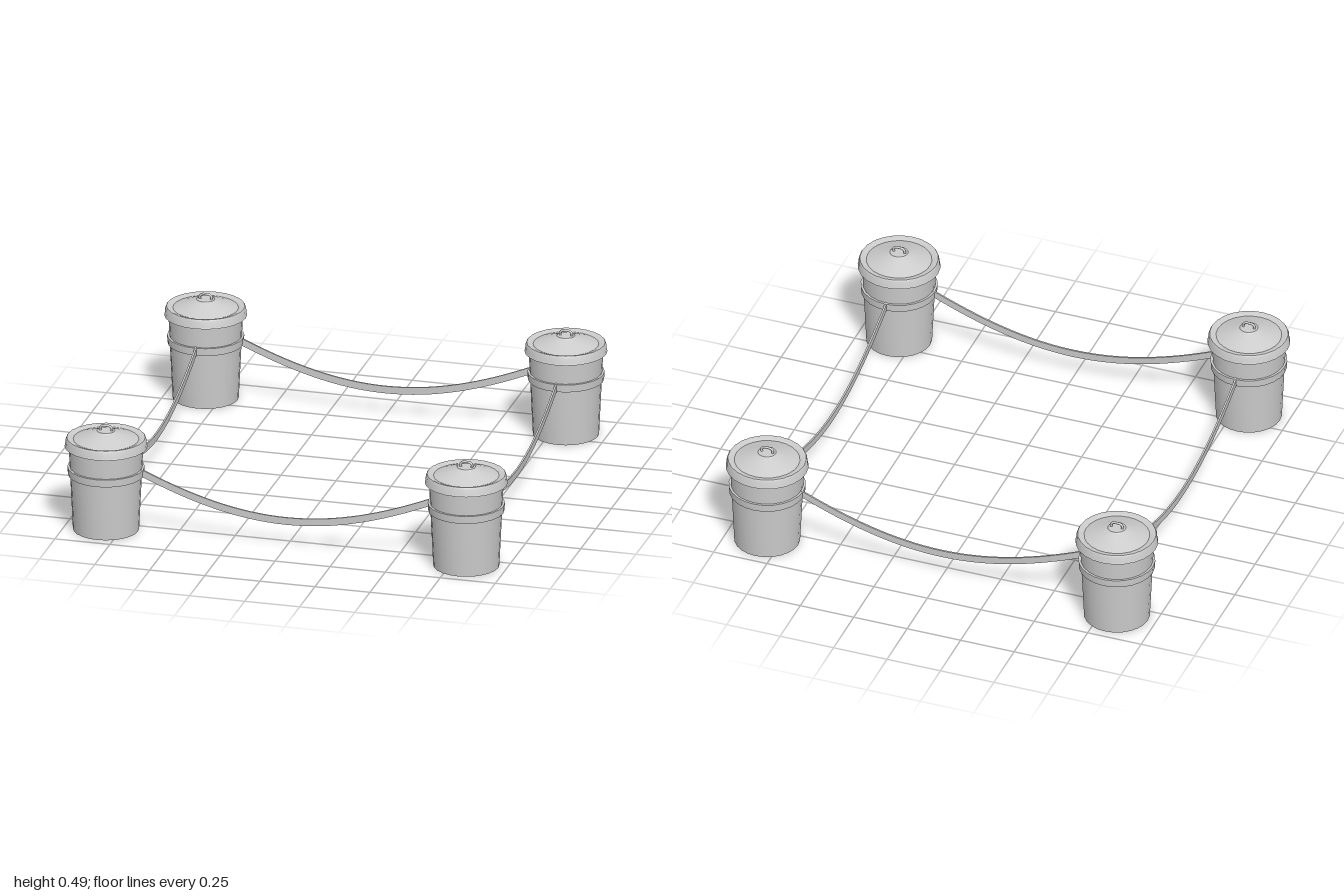
import * as THREE from 'three';
import { toCreasedNormals } from 'three/addons/utils/BufferGeometryUtils.js';

const SIDES = 24;
const CORNER = 0.818;

export function createModel() {
  const model = new THREE.Group();
  model.name = 'roped bins';
  const material = new THREE.MeshStandardMaterial({ color: 0xcccccc, side: THREE.DoubleSide });

  const part = (name, geometry, parent) => {
    const mesh = new THREE.Mesh(geometry, material);
    mesh.name = name;
    parent.add(mesh);
    return mesh;
  };
  const lathe = (points) => toCreasedNormals(
    new THREE.LatheGeometry(points.map(([r, y]) => new THREE.Vector2(r, y)), SIDES), 0.5);

  // Tapered body with a closed base
  const body = lathe([[0, 0], [0.145, 0], [0.164, 0.4]]);
  // Raised band the straps are fixed to
  const band = lathe([[0.155, 0.257], [0.167, 0.257], [0.169, 0.292], [0.155, 0.292]]);
  // Lid: overhanging rim, shallow groove, cone and flat cap
  const lid = lathe([
    [0.158, 0.388], [0.182, 0.388], [0.179, 0.395], [0.177, 0.42], [0.172, 0.429], [0.164, 0.429],
    [0.144, 0.421], [0.043, 0.457], [0.04, 0.461], [0, 0.461],
  ]);
  // Arched lid handle
  const arch = new THREE.CatmullRomCurve3([
    [-0.023, 0.455], [-0.027, 0.469], [-0.018, 0.481], [0, 0.483],
    [0.018, 0.481], [0.027, 0.469], [0.023, 0.455],
  ].map(([x, y]) => new THREE.Vector3(x, y, 0)));
  const handle = new THREE.TubeGeometry(arch, 20, 0.0055, 8);

  for (const x of [-CORNER, CORNER]) {
    for (const z of [-CORNER, CORNER]) {
      const bin = new THREE.Group();
      bin.name = `${z > 0 ? 'front' : 'back'}${x > 0 ? 'Left' : 'Right'}Bin`;
      bin.position.set(x, 0, z);
      part('body', body, bin);
      part('band', band, bin);
      part('lid', lid, bin);
      part('lidHandle', handle, bin);
      model.add(bin);
    }
  }

  // Flat sagging strap, drawn as a ribbon outline and extruded thin
  const half = 0.66, steps = 32, thickness = 0.008;
  const sag = (x) => 0.12 + 0.155 * (1 - Math.cos(1.7 * x)) / (1 - Math.cos(1.7 * 0.65));
  const top = [], bottom = [];
  for (let i = 0; i <= steps; i++) {
    const x = half * (2 * i / steps - 1);
    top.push(new THREE.Vector2(x, sag(x) + 0.0165));
    bottom.unshift(new THREE.Vector2(x, sag(x) - 0.0165));
  }
  const strap = toCreasedNormals(
    new THREE.ExtrudeGeometry(new THREE.Shape([...top, ...bottom]), { depth: thickness, bevelEnabled: false })
      .translate(0, 0, -thickness / 2), 0.5);

  ['frontStrap', 'leftStrap', 'backStrap', 'rightStrap'].forEach((name, i) => {
    const side = new THREE.Group();
    side.name = name;
    side.rotation.y = i * Math.PI / 2;
    part('strap', strap, side).position.z = CORNER;
    model.add(side);
  });

  return model;
}
